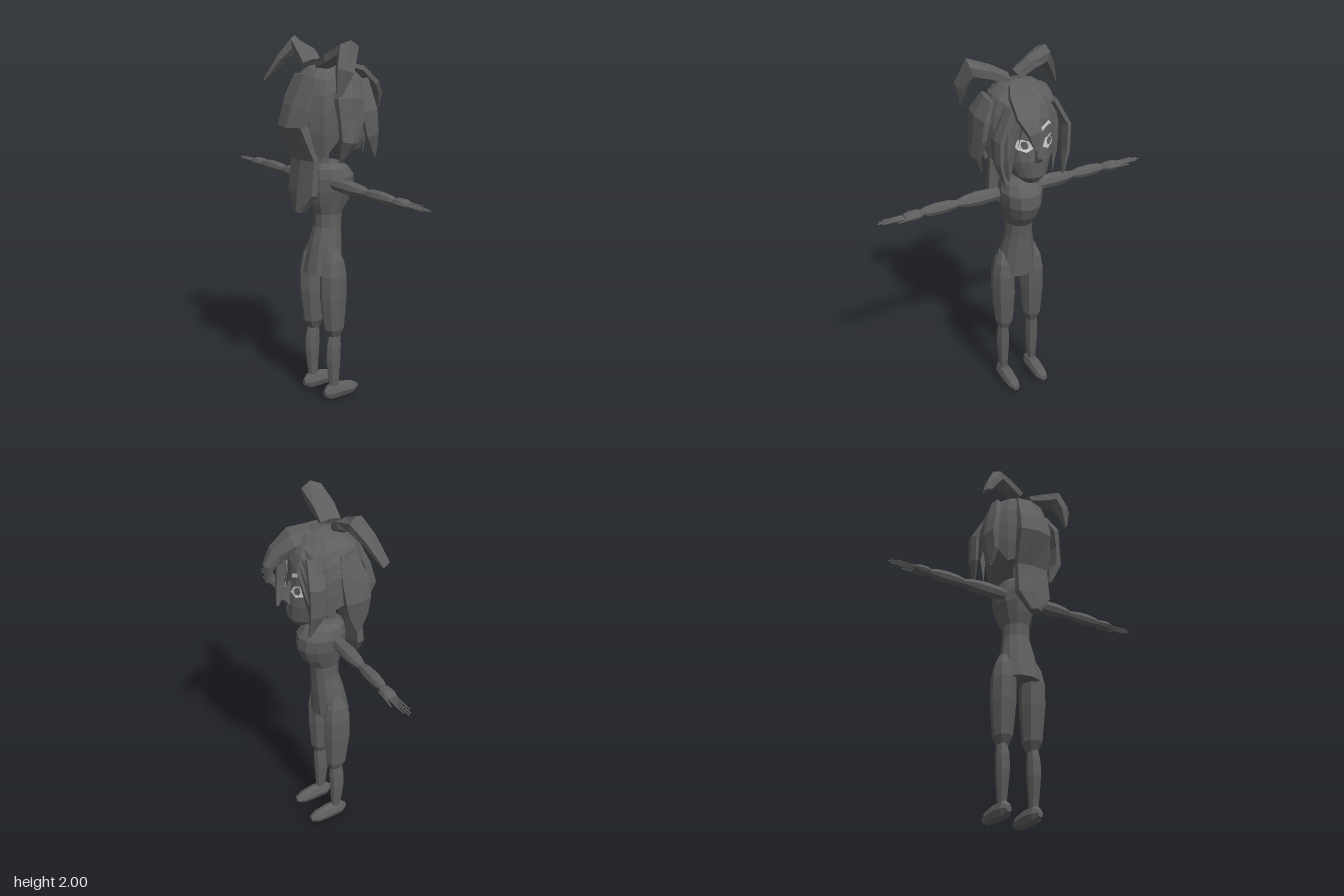
import * as THREE from 'three';

const mat = (name, color, side = THREE.FrontSide) => {
  const m = new THREE.MeshStandardMaterial({ color, side, flatShading: true });
  m.name = name;
  return m;
};
const V = (x, y, z) => new THREE.Vector3(x, y, z);

// Loft through sections [x, y, z, radius along hint, radius across]; without an axis the rings follow the path.
function loft(sections, sides, hint, axis) {
  const centres = sections.map(s => V(s[0], s[1], s[2]));
  const rings = sections.map((s, i) => {
    const last = sections.length - 1;
    const t = (axis ? axis.clone() : centres[Math.min(i + 1, last)].clone().sub(centres[Math.max(i - 1, 0)])).normalize();
    const u = hint.clone().addScaledVector(t, -hint.dot(t)).normalize();
    const v = t.clone().cross(u);
    return Array.from({ length: sides }, (_, j) => {
      const a = j / sides * Math.PI * 2;
      return centres[i].clone().addScaledVector(u, Math.cos(a) * s[3]).addScaledVector(v, Math.sin(a) * s[4]);
    });
  });
  const pts = [];
  for (let j = 0; j < sides; j++) {
    const k = (j + 1) % sides, end = rings.length - 1;
    pts.push(centres[0], rings[0][k], rings[0][j], centres[end], rings[end][j], rings[end][k]);
    for (let i = 0; i < end; i++) {
      const [a, b, c, d] = [rings[i][j], rings[i][k], rings[i + 1][k], rings[i + 1][j]];
      pts.push(a, b, c, a, c, d);
    }
  }
  return fromPoints(pts);
}
function fromPoints(pts) {
  const g = new THREE.BufferGeometry().setFromPoints(pts);
  g.computeVertexNormals();
  return g;
}
// Linear lookup in rows sorted by their first value
function lookup(rows, y, col) {
  let i = 0;
  while (i < rows.length - 2 && y > rows[i + 1][0]) i++;
  const f = THREE.MathUtils.clamp((y - rows[i][0]) / (rows[i + 1][0] - rows[i][0]), 0, 1);
  return THREE.MathUtils.lerp(rows[i][col], rows[i + 1][col], f);
}

export function createModel() {
  const model = new THREE.Group();
  model.name = 'figure';
  const grey = mat('charcoal', 0x5e5e5e);
  const hairMat = mat('charcoal hair', 0x5e5e5e, THREE.DoubleSide);
  const pale = mat('pale eye', 0xcccccc, THREE.DoubleSide);
  const add = (name, geo, m = grey) => {
    const mesh = new THREE.Mesh(geo, m);
    mesh.name = name;
    model.add(mesh);
    return mesh;
  };
  const X = V(1, 0, 0), Y = V(0, 1, 0), Z = V(0, 0, 1), C = -0.006;
  // Upright part from rows [y, centre z, half depth, half width]
  const upright = (name, x, rows, sides) =>
    add(name, loft(rows.map(r => [x, r[0], r[1], r[2], r[3]]), sides, Z, Y));

  // Body and flared tunic
  upright('torso', 0, [
    [0.745, 0.062, 0.103, 0.115], [0.9, 0.042, 0.09, 0.092], [1.0, 0.025, 0.077, 0.074],
    [1.07, 0.022, 0.082, 0.072], [1.13, 0.01, 0.115, 0.088], [1.2, 0.003, 0.137, 0.108],
    [1.27, 0.005, 0.133, 0.115], [1.32, 0.02, 0.108, 0.1], [1.347, 0.03, 0.07, 0.07]], 12);
  upright('neck', 0, [[1.33, 0.06, 0.035, 0.035], [1.5, 0.05, 0.03, 0.035]], 8);

  for (const s of [1, -1]) {
    // Legs
    const x = C + s * 0.09;
    upright('thigh', x, [
      [0.38, 0.045, 0.035, 0.028], [0.43, 0.048, 0.06, 0.05], [0.62, 0.052, 0.08, 0.064],
      [0.74, 0.052, 0.08, 0.062], [0.82, 0.05, 0.062, 0.048], [0.88, 0.05, 0.03, 0.02]], 8);
    upright('shin', x + s * 0.004, [
      [0.08, 0.05, 0.028, 0.022], [0.25, 0.055, 0.045, 0.034], [0.33, 0.052, 0.045, 0.033],
      [0.4, 0.045, 0.036, 0.024]], 8);
    add('foot', loft([
      [0.114, 0.05, 0.018, 0.015], [0.08, 0.052, 0.046, 0.035], [0, 0.049, 0.048, 0.038],
      [-0.075, 0.039, 0.037, 0.035], [-0.115, 0.036, 0.016, 0.018]
    ].map(r => [x + s * 0.002, r[1], r[0], r[2], r[3]]), 8, Y, V(0, 0, -1)));

    // Arms, built outwards from the shoulder
    const arm = (name, rows) =>
      add(name, loft(rows.map(r => [s * r[0], 1.243, r[3] ?? 0.048, r[1], r[2]]), 8, Y, V(s, 0, 0)));
    arm('upperArm', [[0.06, 0.03, 0.03], [0.14, 0.036, 0.036], [0.23, 0.04, 0.04], [0.3, 0.032, 0.034], [0.348, 0.018, 0.02]]);
    arm('forearm', [[0.34, 0.018, 0.02], [0.39, 0.03, 0.031], [0.46, 0.033, 0.033], [0.52, 0.026, 0.028], [0.555, 0.014, 0.016]]);
    arm('hand', [[0.54, 0.014, 0.018, 0.044], [0.565, 0.024, 0.034, 0.042], [0.61, 0.025, 0.036, 0.042], [0.643, 0.014, 0.026, 0.044]]);
    const finger = (name, a, b, r) => add(name, loft([[...a, r, r], [...b, r * 0.6, r * 0.6]], 5, Y));
    [0.7, 0.785, 0.775, 0.75].forEach((tip, i) =>
      finger('finger', [s * 0.63, 1.243, 0.026 + i * 0.012], [s * (i ? tip : 0.76), 1.243, 0.026 + i * 0.014], 0.006));
    finger('thumb', [s * 0.575, 1.243, 0.015], [s * 0.69, 1.243, 0.002], 0.007);
  }

  // Head, facing -z
  const headRows = [
    [1.37, -0.105, 0.05, 0.045], [1.41, -0.075, 0.108, 0.095], [1.5, -0.01, 0.178, 0.145],
    [1.6, 0.005, 0.178, 0.165], [1.72, 0.01, 0.17, 0.16], [1.8, 0.02, 0.11, 0.1]];
  upright('head', 0, headRows, 20);
  add('nose', loft([[0, 1.5, -0.178, 0.022, 0.025], [0, 1.53, -0.188, 0.042, 0.02], [0, 1.62, -0.17, 0.008, 0.01]], 6, Z, Y));
  for (const dy of [0, 0.018])
    add('lip', loft([[-0.04, 1.452, -0.14, 0.005, 0.004], [0, 1.452 + dy, -0.178, 0.012, 0.014], [0.04, 1.452, -0.14, 0.005, 0.004]], 6, Z, X));

  // Thin plates wrapped onto the face
  const plate = (name, outline, m, gap) => {
    const g = new THREE.ShapeGeometry(new THREE.Shape(outline.map(p => new THREE.Vector2(...p))));
    const p = g.attributes.position;
    for (let i = 0; i < p.count; i++) {
      const px = p.getX(i), py = p.getY(i);
      const [cz, rz, rx] = [1, 2, 3].map(c => lookup(headRows, py, c));
      p.setZ(i, cz - rz * Math.sqrt(Math.max(0, 1 - (px / rx) ** 2)) - gap);
    }
    g.computeVertexNormals();
    add(name, g, m);
  };
  for (const s of [1, -1]) {
    plate('eye', [[0.025, 1.575], [0.06, 1.555], [0.1, 1.57], [0.12, 1.605], [0.085, 1.625], [0.045, 1.612]].map(([x, y]) => [s * x, y]), pale, 0.006);
    plate('iris', [[0.058, 1.575], [0.078, 1.575], [0.088, 1.595], [0.08, 1.615], [0.06, 1.612], [0.052, 1.595]].map(([x, y]) => [s * x, y]), hairMat, 0.01);
    plate('eyebrow', [[0.025, 1.652], [0.075, 1.674], [0.125, 1.652], [0.075, 1.694], [0.025, 1.675]].map(([x, y]) => [s * x, y]), pale, 0.006);
  }

  // Hair cap: columns falling from the crown to a jagged hem, open over the face
  const capRows = [[1.34, 0.84], [1.42, 0.95], [1.55, 1.03], [1.7, 1.0], [1.8, 0.83], [1.85, 0.52], [1.872, 0.02]];
  const hems = [1.34, 1.42, 1.4, 1.5, 1.53, 1.48, 1.38, 1.7, 1.75]; // back to front
  const sides = 16, steps = 7;
  const columns = Array.from({ length: sides }, (_, j) => {
    const a = j / sides * Math.PI * 2, hem = hems[Math.min(j, sides - j)];
    return Array.from({ length: steps }, (_, i) => {
      const f = Math.pow(i / (steps - 1), 1.6);
      const y = THREE.MathUtils.lerp(1.872, hem, f), r = lookup(capRows, y, 1);
      return V(Math.sin(a) * 0.198 * r, y, 0.015 + Math.cos(a) * 0.2 * r);
    });
  });
  const capPts = [];
  columns.forEach((col, j) => {
    const next = columns[(j + 1) % sides];
    for (let i = 0; i < steps - 1; i++)
      capPts.push(col[i + 1], next[i + 1], next[i], col[i + 1], next[i], col[i]);
  });
  add('hairCap', fromPoints(capPts), hairMat);

  // Hair locks: sections [x, y, z, half thickness, half width]
  const lock = (name, sections, hint, n = 6) => add(name, loft(sections, n, hint), hairMat);
  lock('backTail', [
    [0, 1.8, 0.15, 0.03, 0.09], [-0.01, 1.65, 0.215, 0.035, 0.11], [-0.02, 1.56, 0.235, 0.05, 0.11],
    [0, 1.38, 0.175, 0.03, 0.11], [0, 1.2, 0.19, 0.038, 0.115], [0, 1.1, 0.21, 0.028, 0.035]], Z);
  lock('rightSideLock', [
    [-0.165, 1.79, 0.06, 0.02, 0.05], [-0.195, 1.66, 0.08, 0.03, 0.08], [-0.215, 1.55, 0.09, 0.035, 0.08],
    [-0.205, 1.45, 0.1, 0.03, 0.06], [-0.215, 1.36, 0.1, 0.006, 0.012]], X);
  lock('leftSideLock', [
    [0.17, 1.8, 0.03, 0.02, 0.06], [0.205, 1.7, 0.05, 0.035, 0.1], [0.22, 1.6, 0.05, 0.025, 0.09],
    [0.228, 1.49, 0.07, 0.03, 0.06], [0.185, 1.38, 0.09, 0.008, 0.012]], X);
  lock('leftFaceLock', [
    [0.12, 1.78, -0.1, 0.02, 0.05], [0.185, 1.62, -0.1, 0.02, 0.06], [0.19, 1.5, -0.12, 0.018, 0.045],
    [0.17, 1.38, -0.16, 0.004, 0.008]], X);
  lock('rightFaceLock', [
    [-0.12, 1.78, -0.1, 0.02, 0.05], [-0.19, 1.65, -0.12, 0.02, 0.05], [-0.19, 1.5, -0.12, 0.018, 0.045],
    [-0.165, 1.38, -0.15, 0.004, 0.008]], X);
  lock('fringe', [
    [0.02, 1.85, -0.04, 0.015, 0.07], [0.05, 1.82, -0.13, 0.025, 0.09], [0.075, 1.75, -0.21, 0.025, 0.065],
    [0.065, 1.69, -0.255, 0.025, 0.04], [0.06, 1.61, -0.27, 0.006, 0.012]], V(0, 0.7, -0.7));
  lock('rightTuft', [
    [-0.03, 1.86, 0.1, 0.03, 0.06], [-0.1, 1.91, 0.09, 0.035, 0.06], [-0.175, 1.945, 0.09, 0.05, 0.05],
    [-0.23, 1.87, 0.14, 0.03, 0.045], [-0.298, 1.755, 0.195, 0.01, 0.03]], V(-0.5, 1, 0));
  lock('leftTuft', [
    [0.04, 1.86, 0.08, 0.03, 0.06], [0.13, 1.9, 0.09, 0.04, 0.065], [0.235, 1.945, 0.085, 0.055, 0.06],
    [0.265, 1.85, 0.13, 0.035, 0.05], [0.257, 1.73, 0.16, 0.006, 0.015]], V(0.6, 1, 0));

  return model;
}
